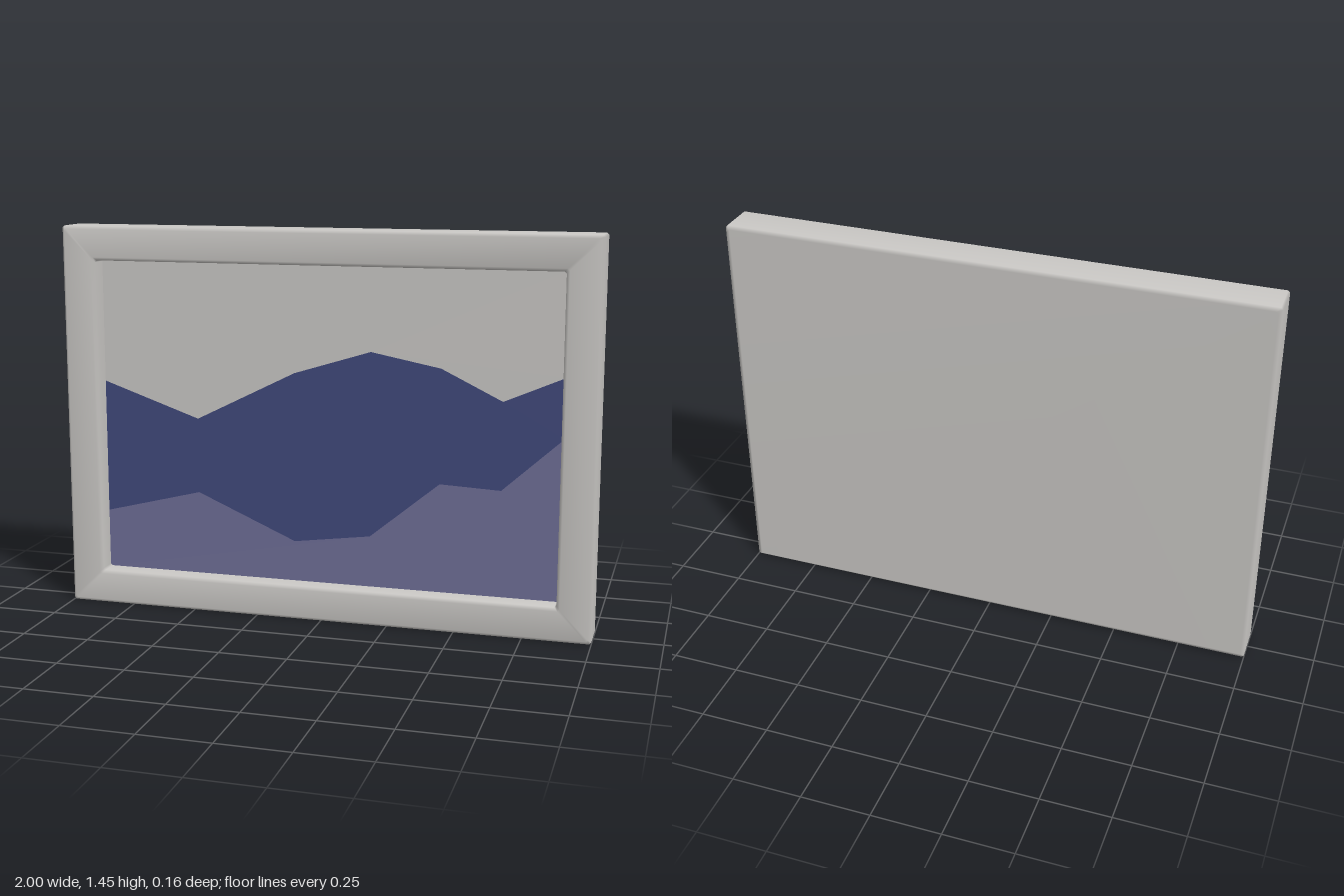
import * as THREE from 'three';

const W = 1, H = 1.45, D = 0.078; // half width, height, half depth
const B = 0.012;                  // edge bevel
const BAR = 0.127;                // frame bar width
const PANEL_Z = 0;

const grey = new THREE.MeshStandardMaterial({ name: 'warmGrey', color: 0xcbc9c6 });
const navy = new THREE.MeshStandardMaterial({ name: 'navyBlue', color: 0x414a7d });
const mauve = new THREE.MeshStandardMaterial({ name: 'dustyMauve', color: 0x6f6f98 });

// Rectangle with clipped corners, inset by d, anticlockwise seen from the front
function ring(d, z, clip) {
  const x = W - d, y0 = d, y1 = H - d, c = clip;
  return [
    [x - c, y0], [x, y0 + c], [x, y1 - c], [x - c, y1],
    [-x + c, y1], [-x, y1 - c], [-x, y0 + c], [-x + c, y0],
  ].map(([px, py]) => [px, py, z]);
}

// Smooth skin joining the rings in order
function loft(rings, capFirst) {
  const n = rings[0].length, index = [];
  for (let r = 0; r < rings.length - 1; r++) {
    for (let i = 0; i < n; i++) {
      const j = (i + 1) % n;
      const a = r * n + i, b = r * n + j, c = a + n, d = b + n;
      index.push(a, b, d, a, d, c);
    }
  }
  if (capFirst) for (let i = 1; i < n - 1; i++) index.push(0, i + 1, i);
  const geometry = new THREE.BufferGeometry();
  geometry.setAttribute('position', new THREE.Float32BufferAttribute(rings.flat(2), 3));
  geometry.setIndex(index);
  geometry.computeVertexNormals();
  return geometry;
}

// Flat region of the picture between a lower and an upper line
function band(name, lower, upper, material) {
  const points = [...lower, ...upper.slice().reverse()].map(([x, y]) => new THREE.Vector2(x, y));
  const mesh = new THREE.Mesh(new THREE.ShapeGeometry(new THREE.Shape(points)), material);
  mesh.name = name;
  mesh.position.z = PANEL_Z;
  return mesh;
}

export function createModel() {
  const model = new THREE.Group();
  model.name = 'framedPicture';

  // Frame with closed back, softened edges and a recessed opening
  const frame = new THREE.Mesh(loft([
    ring(B, -D, B * 0.6),
    ring(0, -D + B, B * 0.6),
    ring(0, D - B, B * 0.6),
    ring(B, D, B * 0.6),
    ring(BAR - B, D, B * 0.6),
    ring(BAR, D - B, B * 0.6),
    ring(BAR, PANEL_Z - 0.005, B * 0.6),
  ], true), grey);
  frame.name = 'frame';
  model.add(frame);

  // Picture: sky, far hills and near hills
  const e = W - BAR + 0.002;
  const bottom = [[-e, BAR - 0.002], [e, BAR - 0.002]];
  const top = [[-e, H - BAR + 0.002], [e, H - BAR + 0.002]];
  const xs = [-e, -0.5, -0.12, 0.17, 0.43, 0.655, e];
  const line = (ys) => ys.map((y, i) => [xs[i], y]);
  const farRidge = line([0.86, 0.73, 0.92, 1.01, 0.96, 0.85, 0.945]);
  const nearRidge = line([0.35, 0.445, 0.28, 0.32, 0.535, 0.525, 0.725]);
  model.add(
    band('sky', farRidge, top, grey),
    band('farHills', nearRidge, farRidge, navy),
    band('nearHills', bottom, nearRidge, mauve),
  );
  return model;
}
